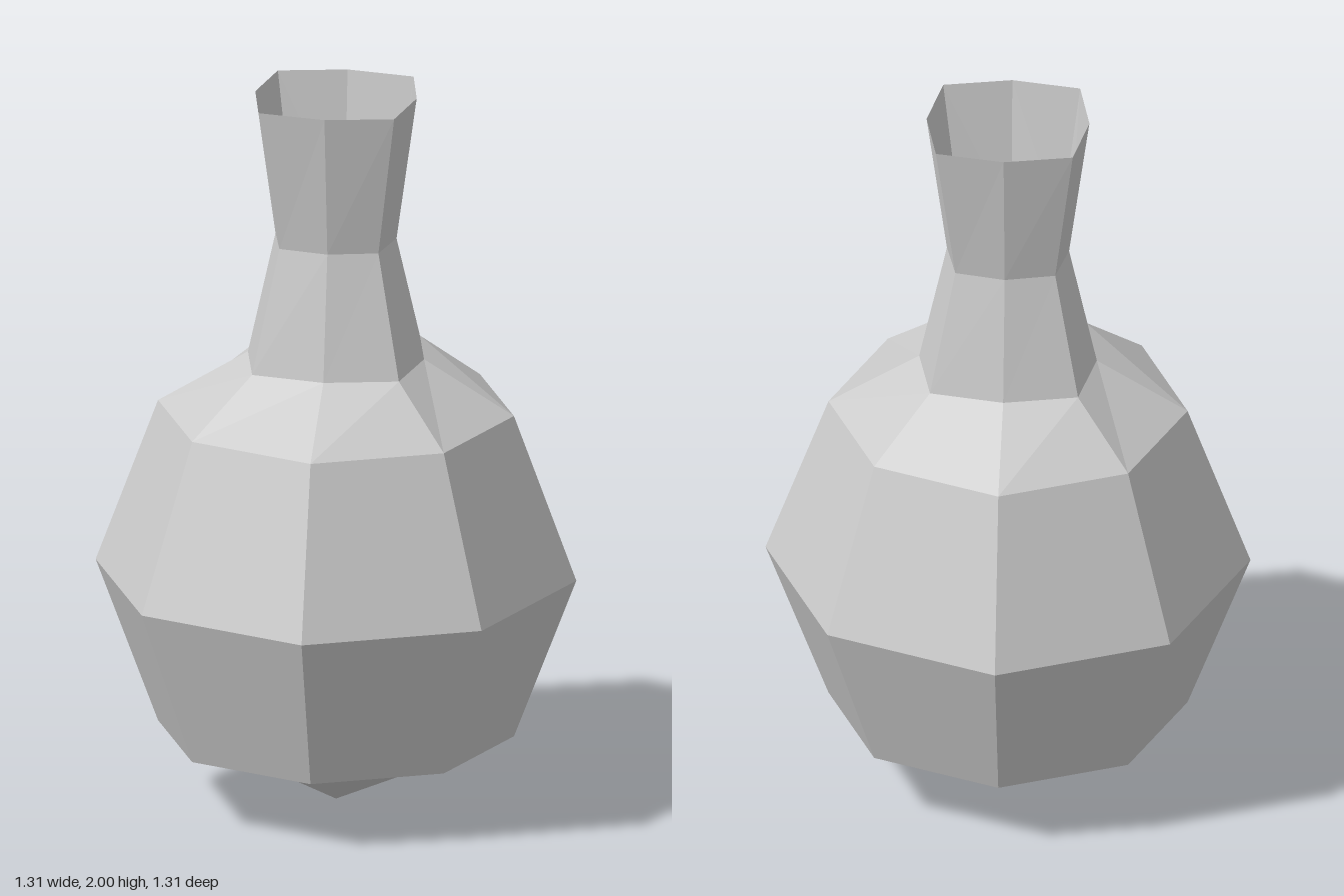
import * as THREE from 'three';

const SIDES = 8;

// Octagonal ring: axis corners at radius r, diagonal corners at (±d, ±d)
function ring(y, r, d) {
  return Array.from({ length: SIDES }, (_, i) => {
    const a = (i / SIDES) * Math.PI * 2;
    const radius = i % 2 ? d * Math.SQRT2 : r;
    return [radius * Math.sin(a), y, radius * Math.cos(a)];
  });
}

// Faceted wall joining consecutive rings, bottom to top
function loft(rings) {
  const pos = [];
  for (let k = 0; k < rings.length - 1; k++) {
    const lo = rings[k], hi = rings[k + 1];
    for (let i = 0; i < SIDES; i++) {
      const j = (i + 1) % SIDES;
      pos.push(...lo[i], ...lo[j], ...hi[j], ...lo[i], ...hi[j], ...hi[i]);
    }
  }
  const geo = new THREE.BufferGeometry();
  geo.setAttribute('position', new THREE.Float32BufferAttribute(pos, 3));
  geo.computeVertexNormals();
  return geo;
}

export function createModel() {
  const group = new THREE.Group();
  const grey = new THREE.MeshStandardMaterial({ color: 0xcccccc, flatShading: true, side: THREE.DoubleSide });
  const greyFront = new THREE.MeshStandardMaterial({ color: 0xcccccc, flatShading: true });
  const dark = new THREE.MeshStandardMaterial({ color: 0x050505 });

  const add = (name, geo, mat) => {
    const mesh = new THREE.Mesh(geo, mat);
    mesh.name = name;
    group.add(mesh);
    return mesh;
  };

  // Round belly and sloping shoulder
  const neckBase = ring(1.26, 0.24, 0.2);
  add('body', loft([
    ring(0.2, 0.485, 0.343),
    ring(0.65, 0.655, 0.463),
    ring(1.11, 0.485, 0.343),
    neckBase,
  ]), grey);

  // Open neck, pinched at the waist and flared at the rim
  add('neck', loft([
    neckBase,
    ring(1.6, 0.165, 0.135),
    ring(2, 0.22, 0.185),
  ]), grey);

  // Four-sided point under the belly
  const point = add('bottomPoint', new THREE.ConeGeometry(0.485, 0.2, 4, 1, true).rotateX(Math.PI), grey);
  point.position.y = 0.1;

  // Flat underside around the point, and the dark floor inside
  const underside = add('underside', new THREE.CircleGeometry(0.485, SIDES).rotateX(Math.PI / 2), greyFront);
  const floor = add('innerFloor', new THREE.CircleGeometry(0.485, SIDES).rotateX(-Math.PI / 2), dark);
  underside.position.y = floor.position.y = 0.2;

  return group;
}
